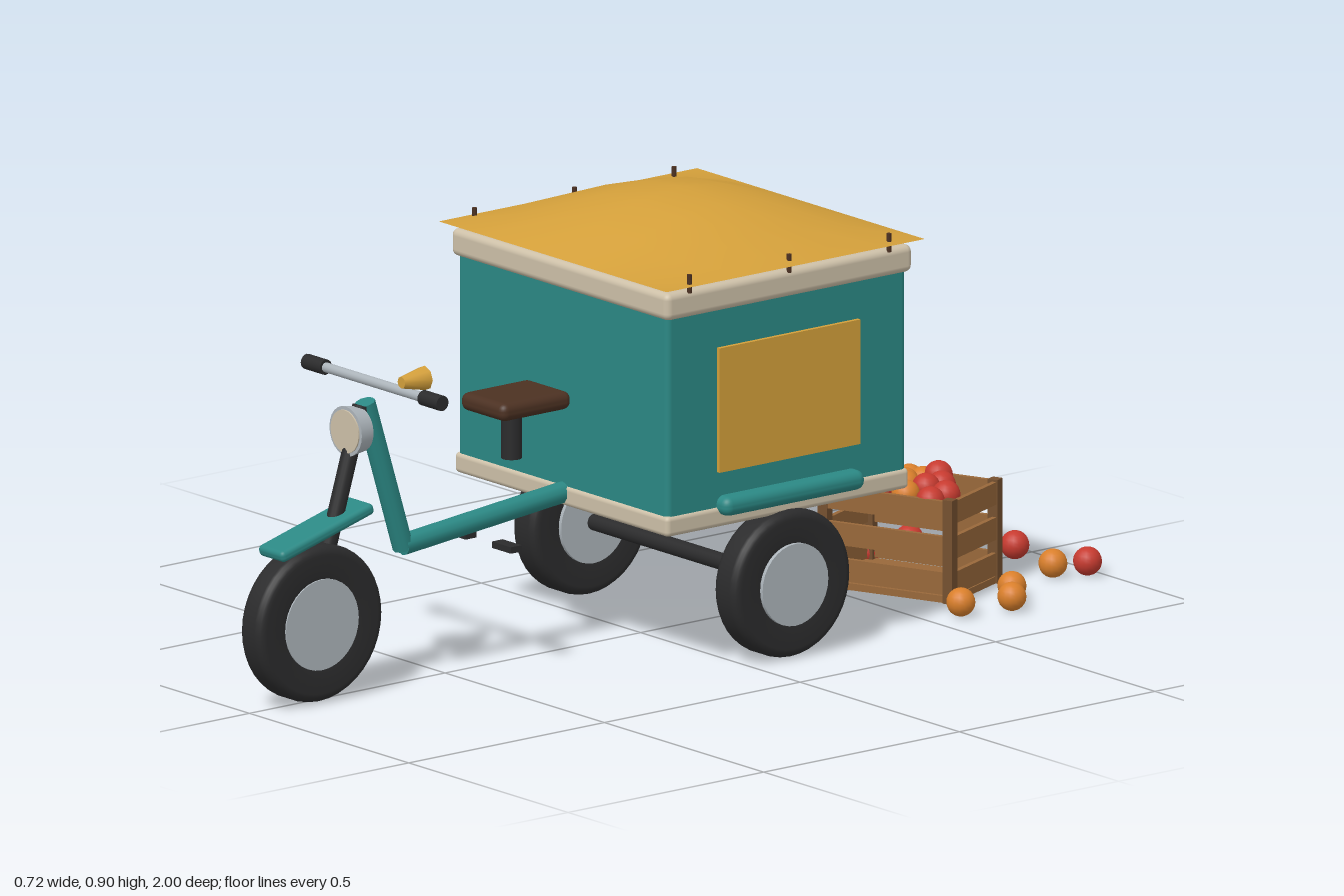
import * as THREE from 'three';
import { RoundedBoxGeometry } from 'three/addons/geometries/RoundedBoxGeometry.js';

const mat = (name, color) => {
  const m = new THREE.MeshStandardMaterial({ color });
  m.name = name;
  return m;
};

export function createModel() {
  const teal = mat('teal paint', 0x2b8884);
  const cream = mat('cream trim', 0xcdc0a8);
  const gold = mat('gold canvas', 0xd39f3a);
  gold.side = THREE.DoubleSide;
  const black = mat('black rubber', 0x2b2b2c);
  const leather = mat('dark leather', 0x4c3122);
  const metal = mat('light metal', 0xacb4ba);
  const wood = mat('crate wood', 0x98683a);
  const darkWood = mat('dark crate wood', 0x75502f);
  const red = mat('red fruit', 0xc63a2f);
  const orange = mat('orange fruit', 0xd97f2b);

  const model = new THREE.Group();
  model.name = 'cargoTricycle';
  const add = (name, geometry, material, x = 0, y = 0, z = 0, parent = model) => {
    const mesh = new THREE.Mesh(geometry, material);
    mesh.name = name;
    mesh.position.set(x, y, z);
    parent.add(mesh);
    return mesh;
  };
  const box = (w, h, d, r = 0) => r ? new RoundedBoxGeometry(w, h, d, 3, r) : new THREE.BoxGeometry(w, h, d);
  // Cylinder between two points
  const rod = (name, a, b, r, material, sides = 16) => {
    const p = new THREE.Vector3(...a), q = new THREE.Vector3(...b);
    const mid = p.clone().add(q).multiplyScalar(0.5);
    const mesh = add(name, new THREE.CylinderGeometry(r, r, p.distanceTo(q), sides), material, mid.x, mid.y, mid.z);
    mesh.quaternion.setFromUnitVectors(new THREE.Vector3(0, 1, 0), q.sub(p).normalize());
    return mesh;
  };

  // Cargo box with cream rims
  const cz = -0.105;
  add('cargoBox', box(0.66, 0.46, 0.61, 0.012), teal, 0, 0.54, cz);
  add('topRim', box(0.682, 0.056, 0.63, 0.014), cream, 0, 0.768, cz);
  add('bottomRim', box(0.67, 0.042, 0.62, 0.01), cream, 0, 0.317, cz);
  for (const s of [1, -1]) {
    add('sidePanel', box(0.009, 0.255, 0.36), gold, s * 0.3355, 0.537, cz);
    add('sideFender', box(0.07, 0.04, 0.36, 0.018), teal, s * 0.327, 0.34, cz);
    for (const dz of [-0.255, 0, 0.255])
      add('canopyPeg', new THREE.CylinderGeometry(0.005, 0.005, 0.038, 8), leather, s * 0.337, 0.809, cz + dz);
  }

  // Billowing canvas: a plane raised in the middle
  const canvas = new THREE.PlaneGeometry(0.715, 0.66, 6, 6).rotateX(-Math.PI / 2);
  const p = canvas.attributes.position;
  for (let i = 0; i < p.count; i++) {
    const u = p.getX(i) / 0.715, v = p.getZ(i) / 0.66;
    p.setY(i, 0.09 * Math.cos(Math.PI * u) * Math.cos(Math.PI * v));
  }
  canvas.computeVertexNormals();
  add('canopy', canvas, gold, 0, 0.808, cz);

  // Wheels: lathed tyre with a metal disc hub
  const wheel = (name, x, y, z, r, w, hubR, hubW) => {
    const g = new THREE.Group();
    g.name = name;
    g.position.set(x, y, z);
    g.rotation.z = -Math.PI / 2;
    const h = w / 2, pts = [[hubR - 0.01, -h + 0.006], [hubR + 0.01, -h]];
    for (let i = 0; i <= 4; i++) {
      const a = i * Math.PI / 8;
      pts.push([r - 0.018 + 0.018 * Math.sin(a), -h + 0.018 - 0.018 * Math.cos(a)]);
    }
    const half = pts.slice().reverse().map(([a, b]) => [a, -b]);
    const profile = [...pts, ...half].map(([a, b]) => new THREE.Vector2(a, b));
    add('tyre', new THREE.LatheGeometry(profile, 40), black, 0, 0, 0, g);
    add('hub', new THREE.CylinderGeometry(hubR, hubR, hubW, 32), metal, 0, 0, 0, g);
    model.add(g);
  };
  wheel('frontWheel', 0, 0.163, 0.841, 0.16, 0.068, 0.093, 0.068);
  wheel('leftRearWheel', 0.316, 0.154, cz, 0.151, 0.072, 0.084, 0.082);
  wheel('rightRearWheel', -0.316, 0.154, cz, 0.151, 0.072, 0.084, 0.082);
  rod('rearAxle', [-0.29, 0.155, cz], [0.29, 0.155, cz], 0.017, black);

  // Frame, fork and front mudguard
  rod('mainTube', [0, 0.325, 0.17], [0, 0.282, 0.61], 0.022, teal, 10);
  rod('downTube', [0, 0.275, 0.607], [0, 0.59, 0.705], 0.021, teal, 10);
  rod('fork', [0, 0.17, 0.841], [0, 0.585, 0.715], 0.017, black);
  const guard = add('frontMudguard', box(0.08, 0.024, 0.245, 0.01), teal, 0, 0.349, 0.829);
  guard.rotation.x = 0.27;

  // Headlamp
  const rim = add('headlampRim', new THREE.CylinderGeometry(0.051, 0.046, 0.034, 24), metal, 0, 0.538, 0.737);
  rim.rotation.x = Math.PI / 2;
  const lens = add('headlampLens', new THREE.CylinderGeometry(0.044, 0.044, 0.008, 24), cream, 0, 0.538, 0.753);
  lens.rotation.x = Math.PI / 2;

  // Handlebar, grips and horn
  rod('handlebar', [-0.17, 0.626, 0.68], [0.17, 0.626, 0.68], 0.01, metal);
  for (const s of [1, -1]) {
    rod('grip', [s * 0.153, 0.626, 0.68], [s * 0.213, 0.626, 0.68], 0.0155, black);
    add('pedal', box(0.06, 0.013, 0.028), black, s * 0.071, 0.258, 0.4);
  }
  const horn = add('horn', new THREE.CylinderGeometry(0.012, 0.025, 0.06, 8), gold, 0.127, 0.657, 0.685);
  horn.rotation.x = Math.PI / 2;

  // Saddle
  add('saddle', box(0.14, 0.037, 0.178, 0.016), leather, 0, 0.529, 0.319);
  add('seatPost', new THREE.CylinderGeometry(0.021, 0.021, 0.11, 16), black, 0, 0.469, 0.33);

  // Slatted crate
  const crate = new THREE.Group();
  crate.name = 'crate';
  crate.position.set(0.053, 0, -0.645);
  crate.rotation.y = 0.39;
  model.add(crate);
  add('crateFloor', box(0.295, 0.014, 0.2), wood, 0, 0.012, 0, crate);
  for (const s of [1, -1]) {
    for (const t of [1, -1])
      add('cratePost', box(0.022, 0.212, 0.022), darkWood, s * 0.141, 0.111, t * 0.094, crate);
    for (const y of [0.045, 0.118, 0.19]) {
      add('longSlat', box(0.29, 0.046, 0.01), wood, 0, y, s * 0.097, crate);
      add('shortSlat', box(0.01, 0.046, 0.195), wood, s * 0.145, y, 0, crate);
    }
  }

  // Fruit, as x, y, z for each colour
  const fruit = new THREE.SphereGeometry(0.029, 16, 12);
  const redSpots = [
    [0.02, 0.03, -0.94], [0.21, 0.03, -0.971], [-0.148, 0.03, -0.807], [-0.13, 0.03, -0.682],
    [0.048, 0.215, -0.722], [0.085, 0.205, -0.7], [0.1, 0.212, -0.648], [0.148, 0.205, -0.66],
    [0.16, 0.203, -0.61], [0.02, 0.203, -0.6], [0.032, 0.222, -0.564],
  ];
  const orangeSpots = [
    [0.18, 0.03, -0.907], [0.265, 0.03, -0.733], [0.33, 0.03, -0.68], [0.3, 0.03, -0.574],
    [-0.058, 0.203, -0.627], [-0.012, 0.2, -0.696], [0.018, 0.205, -0.66], [0.05, 0.21, -0.636],
    [0.095, 0.205, -0.6], [0.02, 0.2, -0.705],
  ];
  for (const s of redSpots) add('redFruit', fruit, red, ...s);
  for (const s of orangeSpots) add('orangeFruit', fruit, orange, ...s);

  return model;
}
